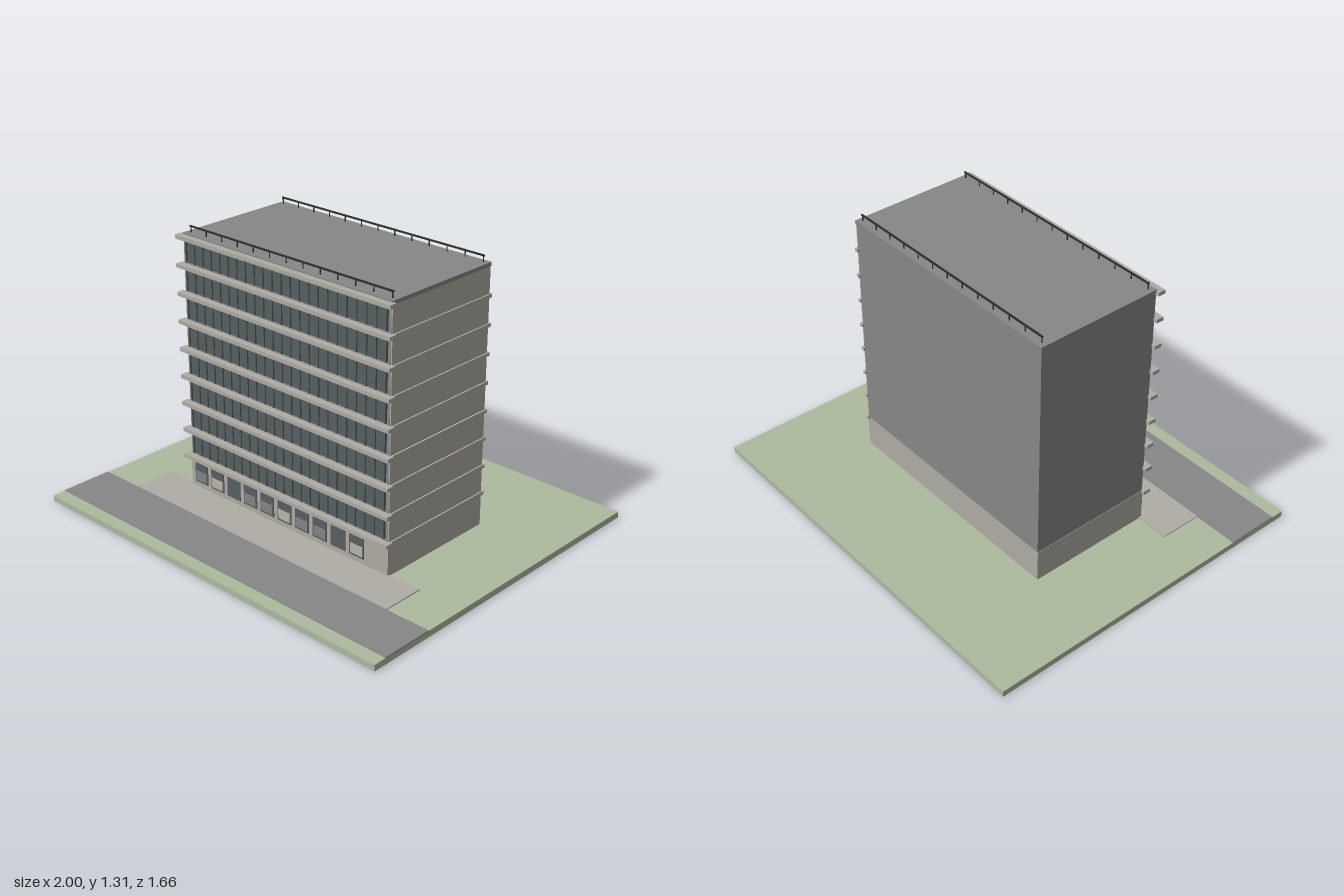
import * as THREE from 'three';

const mat = (name, color) => {
  const m = new THREE.MeshStandardMaterial({ color });
  m.name = name;
  return m;
};

export function createModel() {
  const grass = mat('grass', 0xadbb9f);
  const asphalt = mat('asphalt grey', 0x868786);
  const paving = mat('paving', 0xb0aca5);
  const concrete = mat('beige concrete', 0xaeaca3);
  const wall = mat('wall grey', 0x868887);
  const glass = mat('slate glass', 0x566062);
  const blindGrey = mat('grey blind', 0x858588);
  const blindLight = mat('light blind', 0xb9b6ac);
  const metal = mat('dark railing metal', 0x2a3031);

  const model = new THREE.Group();
  model.name = 'officeBlock';

  // Box given by its extents on each axis
  const box = (name, material, [x0, x1], [y0, y1], [z0, z1], parent = model) => {
    const mesh = new THREE.Mesh(new THREE.BoxGeometry(x1 - x0, y1 - y0, z1 - z0), material);
    mesh.position.set((x0 + x1) / 2, (y0 + y1) / 2, (z0 + z1) / 2);
    mesh.name = name;
    parent.add(mesh);
    return mesh;
  };
  const group = (name) => {
    const g = new THREE.Group();
    g.name = name;
    model.add(g);
    return g;
  };

  // Site
  box('lawn', grass, [-1, 1], [0, 0.03], [-0.832, 0.832]);
  box('road', asphalt, [-1, 1], [0.028, 0.033], [0.51, 0.768]);
  box('forecourt', paving, [-0.777, 0.777], [0.028, 0.035], [0.3, 0.51]);

  // Main volumes
  box('groundFloor', concrete, [-0.612, 0.61], [0.03, 0.19], [-0.31, 0.314]);
  box('upperFloors', wall, [-0.61, 0.604], [0.19, 1.26], [-0.31, 0.31]);
  box('gableWall', concrete, [0.604, 0.61], [0.19, 1.258], [-0.309, 0.309]);
  box('roofSlab', wall, [-0.613, 0.611], [1.257, 1.275], [-0.312, 0.312]);

  // Front ledges on every floor, with bands along the gable
  const storey = 0.134;
  const floors = 8;
  const ledges = group('ledges');
  for (let i = 0; i <= floors; i++) {
    const y = 0.188 + i * storey;
    box('frontLedge', concrete, [-0.63, 0.626], [y - 0.009, y + 0.009], [0.305, 0.343], ledges);
    if (i < floors) box('gableBand', concrete, [0.6, 0.617], [y - 0.008, y + 0.008], [-0.318, 0.31], ledges);
  }

  // Ribbon glazing with projecting fins
  const glazing = group('glazing');
  const panes = 22;
  for (let i = 0; i < floors; i++) {
    const y0 = 0.188 + i * storey + 0.018;
    const y1 = y0 + 0.1;
    box('windowRibbon', glass, [-0.59, 0.59], [y0, y1], [0.308, 0.315], glazing);
    for (let k = 0; k <= panes; k++) {
      const x = -0.587 + (k * 1.174) / panes;
      box('windowFin', glass, [x - 0.003, x + 0.003], [y0, y1 + 0.003], [0.31, 0.322], glazing);
    }
  }

  // Ground floor openings: G grey panel, L light panel, D plain door
  const shopfront = group('shopfront');
  [...'GLDGGLGGDL'].forEach((kind, i) => {
    const x = -0.543 + i * 0.1085;
    box(kind === 'D' ? 'door' : 'groundWindow', glass, [x - 0.042, x + 0.042], [0.06, 0.174], [0.31, 0.317], shopfront);
    if (kind === 'D') return;
    box('windowPanel', kind === 'G' ? blindGrey : blindLight,
      [x - 0.035, x + 0.035], [0.07, 0.117], [0.314, 0.32], shopfront);
  });

  // Roof railings along the front and back edges
  for (const [name, z] of [['frontRailing', 0.285], ['backRailing', -0.288]]) {
    const railing = group(name);
    box('handrail', metal, [-0.592, 0.592], [1.3, 1.307], [z - 0.0035, z + 0.0035], railing);
    for (let k = 0; k <= 12; k++) {
      const x = -0.587 + k * 0.0978;
      box('railPost', metal, [x - 0.002, x + 0.002], [1.27, 1.302], [z - 0.002, z + 0.002], railing);
    }
  }

  return model;
}
